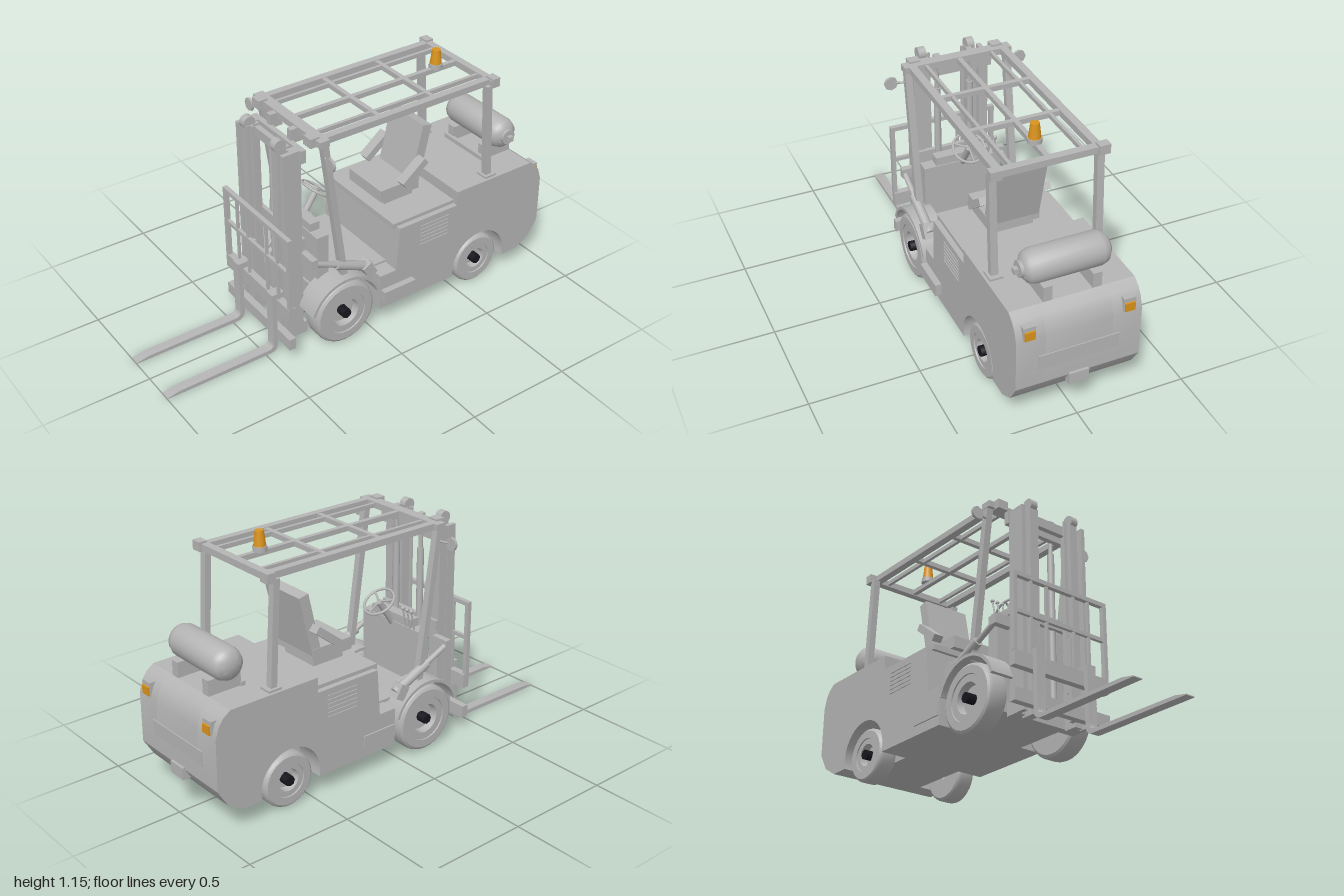
import * as THREE from 'three';
import { toCreasedNormals } from 'three/addons/utils/BufferGeometryUtils.js';

const grey = new THREE.MeshStandardMaterial({ color: 0xb4b4b4 });
grey.name = 'paintedGrey';
const amber = new THREE.MeshStandardMaterial({ color: 0xdb941c });
amber.name = 'amberLens';
const black = new THREE.MeshStandardMaterial({ color: 0x16161e });
black.name = 'blackHub';

const V = (x, y, z) => new THREE.Vector3(x, y, z);

export function createModel() {
  const root = new THREE.Group();
  root.name = 'forklift';

  const add = (name, geo, mat = grey) => {
    const m = new THREE.Mesh(geo, mat);
    m.name = name;
    root.add(m);
    return m;
  };
  // Box given by its limits on each axis
  const box = (name, x0, x1, y0, y1, z0, z1, mat) => add(name,
    new THREE.BoxGeometry(x1 - x0, y1 - y0, z1 - z0)
      .translate((x0 + x1) / 2, (y0 + y1) / 2, (z0 + z1) / 2), mat);
  // The same box on both sides
  const pair = (name, x0, x1, y0, y1, z0, z1, mat) => {
    box(name + 'Left', x0, x1, y0, y1, z0, z1, mat);
    box(name + 'Right', -x1, -x0, y0, y1, z0, z1, mat);
  };
  const align = (mesh, a, b) => {
    mesh.position.copy(a).lerp(b, 0.5);
    mesh.quaternion.setFromUnitVectors(V(0, 1, 0), b.clone().sub(a).normalize());
  };
  const beam = (name, a, b, w, d) => align(add(name, new THREE.BoxGeometry(w, a.distanceTo(b), d)), a, b);
  const rod = (name, a, b, r, mat, sides = 14) =>
    align(add(name, new THREE.CylinderGeometry(r, r, a.distanceTo(b), sides), mat), a, b);
  // Side profile in (z, y), extruded across x
  const slab = (name, shape, x0, x1, segs = 16) => add(name, toCreasedNormals(
    new THREE.ExtrudeGeometry(shape, { depth: x1 - x0, bevelEnabled: false, curveSegments: segs })
      .rotateY(-Math.PI / 2).translate(x1, 0, 0), 0.5));

  // Body: full core plus outer sides with rear wheel arches
  const bodyShape = (arch) => {
    const s = new THREE.Shape();
    [[-0.04, 0.1], [-0.04, 0.28], [-0.128, 0.28], [-0.143, 0.5], [-0.47, 0.5], [-0.47, 0.57], [-0.91, 0.57],
      [-0.945, 0.545], [-0.967, 0.515], [-0.985, 0.46], [-0.988, 0.225], [-0.94, 0.145], [-0.865, 0.1]]
      .forEach(([z, y], i) => (i ? s.lineTo(z, y) : s.moveTo(z, y)));
    if (arch) {
      s.lineTo(-0.771, 0.1);
      s.absarc(-0.62, 0.135, 0.155, Math.PI + 0.228, -0.228, true);
    }
    s.closePath();
    return s;
  };
  slab('bodyCore', bodyShape(false), -0.15, 0.15);
  slab('bodyLeft', bodyShape(true), 0.15, 0.28);
  slab('bodyRight', bodyShape(true), -0.28, -0.15);
  box('hoodLid', -0.255, 0.255, 0.49, 0.517, -0.47, -0.125);
  box('frontChassis', -0.17, 0.17, 0.1, 0.28, -0.04, 0.25);
  box('frontCowl', -0.19, 0.19, 0.28, 0.55, 0.18, 0.24);
  box('cowlTop', -0.13, 0.13, 0.55, 0.59, 0.185, 0.235);
  box('floorPlate', -0.2, 0.2, 0.275, 0.29, -0.13, 0.2);
  box('stepLeft', 0.28, 0.31, 0.145, 0.205, -0.22, -0.045);
  box('stepRight', -0.287, -0.28, 0.145, 0.205, -0.22, -0.045);
  for (let i = 0; i < 6; i++) pair('louver', 0.28, 0.284, 0.36 + i * 0.02, 0.37 + i * 0.02, -0.42, -0.26);

  // Rear fittings
  box('rearPanel', -0.18, 0.18, 0.3, 0.37, -0.991, -0.98);
  box('towHitch', -0.045, 0.045, 0.18, 0.235, -1, -0.95);
  pair('lampHousing', 0.195, 0.25, 0.465, 0.53, -0.985, -0.94);
  pair('rearLamp', 0.2, 0.245, 0.47, 0.51, -0.993, -0.985, amber);

  // Gas tank on its cradle
  const tank = [[0, -0.195], [0.04, -0.19], [0.065, -0.172], [0.074, -0.145], [0.074, 0.145], [0.065, 0.172], [0.04, 0.19], [0, 0.195]];
  add('gasTank', toCreasedNormals(new THREE.LatheGeometry(tank.map((p) => new THREE.Vector2(...p)), 24).rotateZ(-Math.PI / 2), 0.7))
    .position.set(0, 0.7, -0.83);
  rod('tankCollar', V(0.18, 0.7, -0.83), V(0.205, 0.7, -0.83), 0.036);
  box('tankValve', 0.2, 0.225, 0.685, 0.71, -0.842, -0.818);
  pair('tankCradle', 0.09, 0.13, 0.57, 0.64, -0.91, -0.75);
  box('cradleBar', -0.14, 0.14, 0.57, 0.59, -0.755, -0.735);

  // Wheels: recessed rim, tyre and dark hub
  const wheel = (name, r, hole, half, side, x, y, z) => {
    const pts = [[0.02, -half], [r * 0.9, -half], [r * 0.97, -half * 0.85], [r, -half * 0.6], [r, half * 0.6], [r * 0.97, half * 0.85],
      [r * 0.9, half], [hole * 1.5, half], [hole * 1.48, half - 0.006], [hole, half - 0.006], [hole * 0.92, half - 0.04], [0, half - 0.04]];
    const g = new THREE.LatheGeometry(pts.map((p) => new THREE.Vector2(...p)), 28).rotateZ(-side * Math.PI / 2);
    add(name, toCreasedNormals(g, 0.6)).position.set(side * x, y, z);
    rod(name + 'Hub', V(side * (x - 0.01), y, z), V(side * (x + half + 0.006), y, z), 0.024, black, 8);
  };
  for (const s of [-1, 1]) {
    wheel('frontWheel', 0.157, 0.07, 0.05, s, 0.233, 0.163, 0.15);
    wheel('rearWheel', 0.126, 0.052, 0.045, s, 0.222, 0.131, -0.62);

    // Fender arch and its foot block
    const f = new THREE.Shape();
    f.absarc(0.15, 0.165, 0.19, 0.3, Math.PI - 0.3, false);
    f.absarc(0.15, 0.165, 0.176, Math.PI - 0.3, 0.3, true);
    slab('frontFender', f, s > 0 ? 0.17 : -0.29, s > 0 ? 0.29 : -0.17, 20);
    beam('fenderBlock', V(s * 0.245, 0.365, 0.03), V(s * 0.245, 0.305, -0.005), 0.06, 0.05);
    rod('tiltCylinder', V(s * 0.245, 0.42, 0.18), V(s * 0.245, 0.335, -0.01), 0.022);
    rod('tiltRod', V(s * 0.245, 0.475, 0.3), V(s * 0.245, 0.42, 0.18), 0.013);
    box('tiltBracket', s * 0.215 - 0.045, s * 0.215 + 0.045, 0.455, 0.5, 0.285, 0.315);

    // Guard posts and mirrors
    beam('frontPost', V(s * 0.237, 1.045, 0.235), V(s * 0.237, 0.34, 0.135), 0.032, 0.03);
    beam('rearPost', V(s * 0.237, 1.045, -0.645), V(s * 0.237, 0.57, -0.675), 0.032, 0.03);
    box('postFoot', s * 0.237 - 0.03, s * 0.237 + 0.03, 0.57, 0.58, -0.71, -0.645);
    rod('mirrorArm', V(s * 0.24, 0.99, 0.235), V(s * 0.3, 0.99, 0.25), 0.005, grey, 6);
    rod('mirror', V(s * 0.31, 0.99, 0.245), V(s * 0.31, 0.99, 0.257), 0.031, grey, 8);

    // Mast channels, lift cylinders and chains
    box('outerMast', s * 0.158 - 0.022, s * 0.158 + 0.022, 0.06, 1.015, 0.31, 0.355);
    box('outerMastFlange', s * 0.172 - 0.01, s * 0.172 + 0.01, 0.06, 1.015, 0.355, 0.4);
    box('innerMast', s * 0.116 - 0.02, s * 0.116 + 0.02, 0.05, 1.025, 0.335, 0.4);
    rod('liftCylinder', V(s * 0.08, 0.1, 0.285), V(s * 0.08, 0.9, 0.285), 0.016);
    rod('liftRod', V(s * 0.08, 0.9, 0.285), V(s * 0.08, 1.03, 0.285), 0.01);
    box('liftHead', s * 0.078 - 0.014, s * 0.078 + 0.014, 1.0, 1.065, 0.24, 0.3);
    rod('chainPulley', V(s * 0.1, 1.035, 0.38), V(s * 0.135, 1.035, 0.38), 0.03);
    box('liftChain', s * 0.083 - 0.008, s * 0.083 + 0.008, 0.2, 1.03, 0.375, 0.383);

    // Fork: upright shank, rounded heel and tapered blade
    const k = new THREE.Shape();
    k.moveTo(0.438, 0.32);
    k.lineTo(0.438, 0.05);
    k.quadraticCurveTo(0.438, 0.006, 0.48, 0.006);
    k.lineTo(1, 0.008);
    k.lineTo(1, 0.012);
    k.lineTo(0.94, 0.024);
    k.lineTo(0.49, 0.026);
    k.quadraticCurveTo(0.462, 0.026, 0.461, 0.055);
    k.lineTo(0.461, 0.32);
    k.closePath();
    slab('fork', k, s * 0.14 - 0.023, s * 0.14 + 0.023, 6);
    box('forkHook', s * 0.14 - 0.023, s * 0.14 + 0.023, 0.29, 0.32, 0.4, 0.45);
  }
  box('frontAxle', -0.2, 0.2, 0.13, 0.2, 0.11, 0.19);

  // Mast crossbeams
  box('mastTopBeam', -0.19, 0.19, 0.955, 1.015, 0.29, 0.315);
  box('mastMidBeam', -0.18, 0.18, 0.52, 0.57, 0.295, 0.315);
  box('mastBottomBeam', -0.18, 0.18, 0.06, 0.12, 0.29, 0.33);
  box('innerTopBeam', -0.12, 0.12, 0.97, 1.015, 0.335, 0.36);

  // Fork carriage and load backrest
  box('carriageUpper', -0.26, 0.26, 0.225, 0.292, 0.405, 0.438);
  box('carriageLower', -0.26, 0.26, 0.07, 0.127, 0.405, 0.438);
  pair('carriageUpright', 0.075, 0.1, 0.07, 0.45, 0.385, 0.405);
  box('backrestTop', -0.262, 0.262, 0.634, 0.654, 0.415, 0.437);
  box('backrestMid', -0.245, 0.245, 0.466, 0.484, 0.418, 0.434);
  pair('backrestSide', 0.243, 0.262, 0.29, 0.64, 0.415, 0.437);
  pair('backrestBar', 0.155, 0.167, 0.29, 0.64, 0.42, 0.432);
  pair('backrestBarInner', 0.07, 0.082, 0.29, 0.64, 0.42, 0.432);

  // Overhead guard
  box('guardFront', -0.255, 0.255, 1.04, 1.07, 0.215, 0.265);
  box('guardRear', -0.255, 0.255, 1.04, 1.07, -0.685, -0.65);
  pair('guardRail', 0.2, 0.235, 1.04, 1.07, -0.67, 0.25);
  pair('guardSlat', 0.148, 0.163, 1.046, 1.066, -0.66, 0.23);
  box('guardCentre', -0.011, 0.011, 1.045, 1.068, -0.66, 0.23);
  for (const z of [-0.36, -0.07]) box('guardCross', -0.21, 0.21, 1.045, 1.068, z - 0.011, z + 0.011);
  pair('guardFrontBlock', 0.17, 0.222, 1.035, 1.078, 0.245, 0.29);
  pair('guardRearBlock', 0.21, 0.26, 1.035, 1.078, -0.695, -0.655);

  // Beacon
  rod('beaconBase', V(0, 1.065, -0.54), V(0, 1.088, -0.54), 0.031, grey, 16);
  add('beacon', new THREE.CylinderGeometry(0.019, 0.027, 0.067, 16), amber).position.set(0, 1.1215, -0.54);

  // Seat
  box('seatBase', -0.1, 0.1, 0.515, 0.555, -0.35, -0.19);
  box('seatCushion', -0.12, 0.12, 0.55, 0.607, -0.37, -0.155);
  beam('seatBack', V(0, 0.58, -0.345), V(0, 0.865, -0.41), 0.235, 0.05);
  for (const s of [-1, 1]) beam('armrest', V(s * 0.14, 0.62, -0.255), V(s * 0.14, 0.715, -0.375), 0.05, 0.035);

  // Steering wheel, column and levers
  const hub = V(0, 0.66, 0.11);
  const axis = V(0, 0.12, -0.08).normalize();
  const ring = add('steeringWheel', new THREE.TorusGeometry(0.074, 0.006, 8, 28));
  ring.position.copy(hub);
  ring.quaternion.setFromUnitVectors(V(0, 0, 1), axis);
  const along = V(0, 0.08, 0.12).normalize();
  for (const a of [0, 2.1, 4.2]) {
    const tip = hub.clone().addScaledVector(along, -0.072 * Math.cos(a)).add(V(0.072 * Math.sin(a), 0, 0));
    rod('steeringSpoke', hub, tip, 0.005, grey, 6);
  }
  rod('steeringColumn', hub, hub.clone().addScaledVector(axis, -0.16), 0.015);
  for (const x of [-0.155, -0.128, -0.1]) {
    rod('lever', V(x, 0.53, 0.19), V(x, 0.64, 0.165), 0.004, grey, 6);
    add('leverKnob', new THREE.SphereGeometry(0.009, 8, 6)).position.set(x, 0.645, 0.164);
  }
  return root;
}
